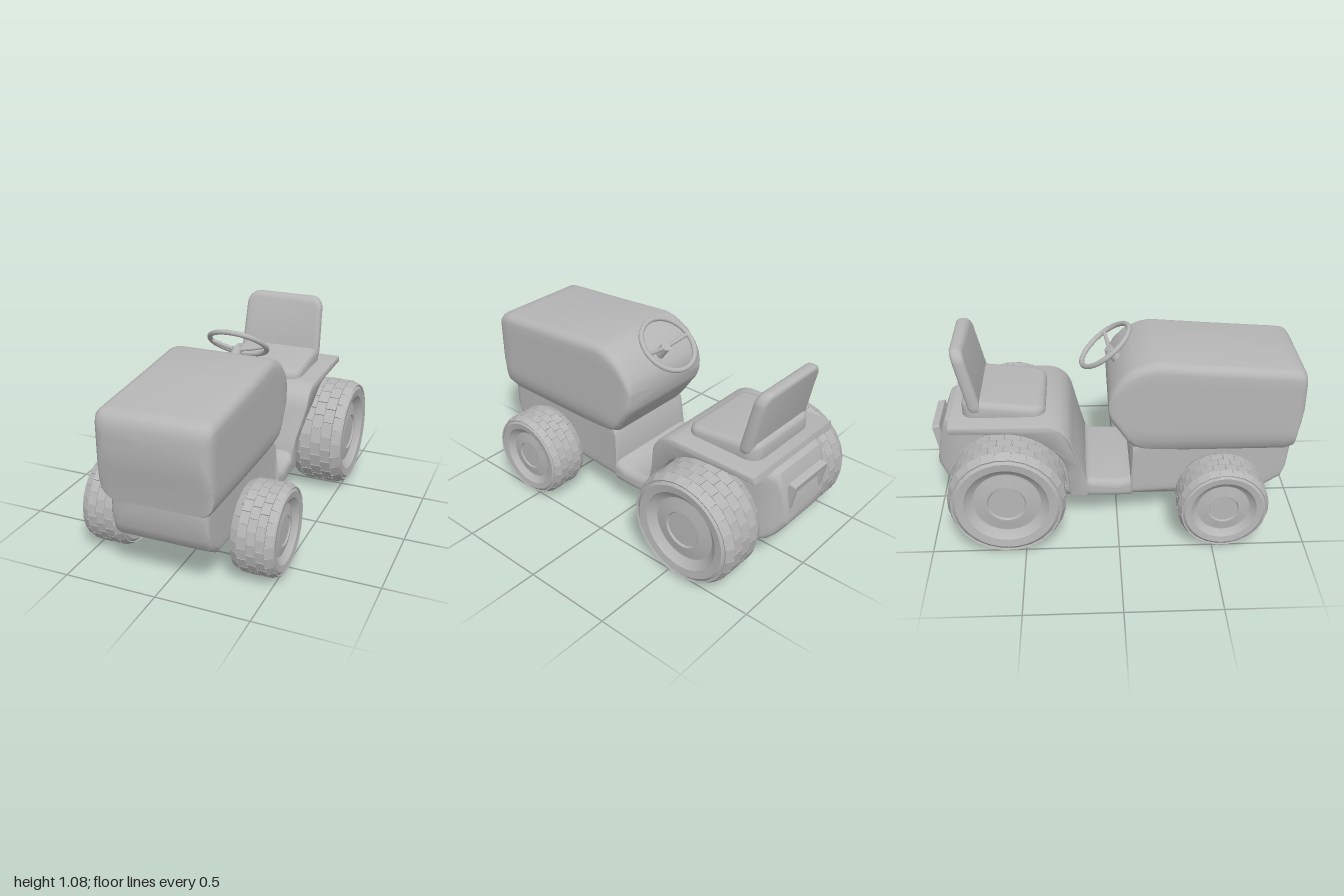
import * as THREE from 'three';
import { mergeGeometries, toCreasedNormals } from 'three/addons/utils/BufferGeometryUtils.js';

const grey = new THREE.MeshStandardMaterial({ color: 0xb6b6b6 });
grey.name = 'plain grey';

function add(parent, name, geometry) {
  const mesh = new THREE.Mesh(geometry, grey);
  mesh.name = name;
  parent.add(mesh);
  return mesh;
}

// Move every vertex by a rule
function reshape(geometry, rule) {
  const p = geometry.attributes.position;
  const v = new THREE.Vector3();
  for (let i = 0; i < p.count; i++) {
    rule(v.fromBufferAttribute(p, i));
    p.setXYZ(i, v.x, v.y, v.z);
  }
  return geometry;
}

// Rounded rectangle cross-section, counter-clockwise from lower right, with extra points up the sides
function ring(w, yb, yt, radius) {
  const r = Math.min(radius, (yt - yb) * 0.45, w * 0.9);
  const pts = [];
  const corner = (cx, cy, start) => {
    for (let i = 0; i <= 4; i++) {
      const a = start + (i / 4) * Math.PI / 2;
      pts.push([cx + r * Math.cos(a), cy + r * Math.sin(a)]);
    }
  };
  const side = (x, from, to) => {
    for (let i = 1; i < 8; i++) pts.push([x, from + (to - from) * i / 8]);
  };
  corner(w - r, yb + r, -Math.PI / 2);
  side(w, yb + r, yt - r);
  corner(w - r, yt - r, 0);
  corner(-w + r, yt - r, Math.PI / 2);
  side(-w, yt - r, yb + r);
  corner(-w + r, yb + r, Math.PI);
  return pts;
}

// Skin over sections [z, halfWidth, bottom, top], ordered from front to back
function loft(sections, radius, crease, rule) {
  const pos = [], idx = [];
  let n = 0;
  for (const [z, w, yb, yt] of sections) {
    const pts = ring(w, yb, yt, radius);
    n = pts.length;
    for (const [x, y] of pts) pos.push(x, y, z);
  }
  for (let s = 0; s < sections.length - 1; s++) {
    for (let i = 0; i < n; i++) {
      const a = s * n + i, b = s * n + (i + 1) % n;
      idx.push(a, a + n, b, b, a + n, b + n);
    }
  }
  // End caps
  const last = sections.length - 1;
  for (const s of [0, last]) {
    const [z, , yb, yt] = sections[s];
    const c = pos.length / 3;
    pos.push(0, (yb + yt) / 2, z);
    for (let i = 0; i < n; i++) {
      const a = s * n + i, b = s * n + (i + 1) % n;
      if (s === 0) idx.push(c, a, b);
      else idx.push(c, b, a);
    }
  }
  const g = new THREE.BufferGeometry();
  g.setAttribute('position', new THREE.Float32BufferAttribute(pos, 3));
  g.setIndex(idx);
  if (rule) reshape(g, rule);
  return toCreasedNormals(g, crease);
}

function roundedRect(w, h, r) {
  const s = new THREE.Shape();
  s.absarc(w / 2 - r, -h / 2 + r, r, -Math.PI / 2, 0);
  s.absarc(w / 2 - r, h / 2 - r, r, 0, Math.PI / 2);
  s.absarc(-w / 2 + r, h / 2 - r, r, Math.PI / 2, Math.PI);
  s.absarc(-w / 2 + r, -h / 2 + r, r, Math.PI, Math.PI * 1.5);
  return s;
}

// Rounded slab centred on the origin, thin along z
function slab(w, h, thick, r) {
  const b = thick * 0.35;
  const g = new THREE.ExtrudeGeometry(roundedRect(w - 2 * b, h - 2 * b, r), {
    depth: thick - 2 * b, bevelThickness: b, bevelSize: b, bevelSegments: 3, curveSegments: 5,
  });
  return g.translate(0, 0, -(thick - 2 * b) / 2);
}

// Wheel with its outer side towards +x
function makeWheel(name, R, h) {
  const wheel = new THREE.Group();
  wheel.name = name;
  const profile = [
    [0, -0.5], [0.64, -0.5], [0.7, -0.95], [0.86, -1], [0.95, -0.84], [0.972, -0.62],
    [0.972, 0.62], [0.95, 0.84], [0.86, 1], [0.72, 0.96], [0.69, 0.88], [0.58, 0.72],
    [0.55, 0.72], [0.37, 0.84], [0.33, 0.84], [0.31, 0.78], [0, 0.78],
  ].map(([r, x]) => new THREE.Vector2(r * R, x * h));
  const body = new THREE.LatheGeometry(profile, 36).rotateZ(-Math.PI / 2);
  add(wheel, 'tyreAndRim', toCreasedNormals(body, 0.45));

  // Staggered tread blocks, with the outermost rows leaning over the shoulders
  const count = 24, lugs = [];
  const rows = [[-0.8, 0.36, 0.955, 0.42], [-0.42, 0.4, 0.985, 0], [0, 0.4, 0.985, 0],
    [0.42, 0.4, 0.985, 0], [0.8, 0.36, 0.955, -0.42]];
  rows.forEach(([x, w, r, lean], row) => {
    for (let i = 0; i < count; i++) {
      const box = new THREE.BoxGeometry(w * h, 0.03 * R, 2 * Math.PI * R / count * 0.95);
      box.rotateZ(lean).translate(x * h, r * R, 0);
      lugs.push(box.rotateX((i + (row % 2) * 0.5) / count * Math.PI * 2));
    }
  });
  add(wheel, 'tread', mergeGeometries(lugs));
  return wheel;
}

export function createModel() {
  const model = new THREE.Group();
  model.name = 'gardenTractor';

  // Hood, drawn in along its lower edge
  add(model, 'hood', loft([
    [0.995, 0.24, 0.74, 0.87], [0.985, 0.275, 0.67, 0.905], [0.97, 0.292, 0.6, 0.925],
    [0.95, 0.3, 0.47, 0.938], [0.9, 0.3, 0.44, 0.945], [0.5, 0.3, 0.44, 0.975], [0.2, 0.3, 0.44, 1.0],
    [0.145, 0.3, 0.45, 0.99], [0.086, 0.3, 0.487, 0.965], [0.053, 0.3, 0.53, 0.947],
    [0, 0.298, 0.61, 0.893], [-0.03, 0.295, 0.65, 0.845], [-0.045, 0.285, 0.68, 0.815],
  ], 0.05, 0.75, (v) => {
    v.x *= 0.86 + 0.14 * THREE.MathUtils.smoothstep(v.y, 0.43, 0.56);
  }));

  // Chassis with nose, foot well and rear housing
  add(model, 'chassis', loft([
    [0.935, 0.24, 0.41, 0.55], [0.922, 0.255, 0.32, 0.55], [0.9, 0.258, 0.262, 0.55],
    [0.79, 0.258, 0.19, 0.55], [0.4, 0.262, 0.187, 0.55], [0.12, 0.275, 0.185, 0.55],
    [0.082, 0.28, 0.185, 0.5], [0.07, 0.295, 0.185, 0.31], [0, 0.298, 0.185, 0.29], [-0.15, 0.295, 0.185, 0.3],
    [-0.18, 0.285, 0.185, 0.33], [-0.25, 0.28, 0.185, 0.55], [-0.28, 0.27, 0.187, 0.62],
    [-0.34, 0.235, 0.19, 0.65], [-0.82, 0.235, 0.2, 0.66], [-0.88, 0.22, 0.225, 0.65],
    [-0.92, 0.2, 0.26, 0.635], [-0.945, 0.185, 0.295, 0.57], [-0.965, 0.172, 0.325, 0.46], [-0.975, 0.16, 0.345, 0.4],
  ], 0.04, 0.75));

  // Fenders: a one-piece shell that follows the arch over the rear wheels
  const shell = new THREE.Shape();
  shell.moveTo(-0.17, 0.29);
  shell.lineTo(-0.205, 0.4);
  shell.lineTo(-0.25, 0.56);
  shell.quadraticCurveTo(-0.28, 0.67, -0.4, 0.672);
  shell.lineTo(-0.875, 0.672);
  shell.lineTo(-0.88, 0.65);
  shell.lineTo(-0.6, 0.645);
  shell.absarc(-0.59, 0.315, 0.328, Math.PI / 2, 0.05, true);
  shell.lineTo(-0.25, 0.2);
  shell.lineTo(-0.17, 0.2);
  const fender = new THREE.ExtrudeGeometry(shell, {
    depth: 0.66, bevelThickness: 0.012, bevelSize: 0.008, bevelSegments: 2, curveSegments: 14,
  }).translate(0, 0, -0.33).rotateY(-Math.PI / 2);
  reshape(fender, (v) => { v.x *= 0.84 + 0.16 * THREE.MathUtils.smoothstep(v.y, 0.3, 0.6); });
  add(model, 'fenders', toCreasedNormals(fender, 0.7));

  // Seat cushion rising to the rear, and a leaning, slightly dished backrest
  const cushion = slab(0.48, 0.44, 0.09, 0.04).rotateX(-Math.PI / 2);
  reshape(cushion, (v) => {
    const back = (0.22 - v.z) / 0.44;
    if (v.y > 0) v.y += back * 0.05 - 0.008 * (1 - Math.min(1, Math.abs(v.x) / 0.2));
    v.y += 0.678;
    v.z -= 0.6;
  });
  add(model, 'seatCushion', toCreasedNormals(cushion, 0.7));
  const backrest = slab(0.485, 0.385, 0.07, 0.045);
  reshape(backrest, (v) => {
    v.x *= 1 - 0.03 * (v.y / 0.19);
    v.z += -0.792 - v.y * 0.22 + 0.25 * v.x * v.x;
    v.y += 0.868;
  });
  add(model, 'seatBack', toCreasedNormals(backrest, 0.7));

  // Steering wheel, spokes and column
  const steering = new THREE.Group();
  steering.name = 'steering';
  steering.position.set(0, 0.975, -0.056);
  steering.rotation.x = -0.66;
  add(steering, 'steeringRim', new THREE.TorusGeometry(0.16, 0.014, 10, 40).rotateX(Math.PI / 2));
  const spokePath = new THREE.CatmullRomCurve3([[-0.158, 0], [-0.08, -0.022], [0, -0.035], [0.08, -0.022], [0.158, 0]]
    .map(([x, y]) => new THREE.Vector3(x, y, 0)));
  add(steering, 'spokes', new THREE.TubeGeometry(spokePath, 16, 0.011, 8));
  add(steering, 'column', new THREE.CylinderGeometry(0.026, 0.03, 0.15, 14).translate(0, -0.1, 0));
  model.add(steering);

  // Open rear hitch frame, tilted with the housing
  const hitch = new THREE.Group();
  hitch.name = 'hitchFrame';
  hitch.position.set(0, 0.48, -0.962);
  hitch.rotation.x = -0.19;
  const frame = roundedRect(0.285, 0.195, 0.012);
  frame.holes.push(roundedRect(0.235, 0.15, 0.008));
  add(hitch, 'hitchSurround', new THREE.ExtrudeGeometry(frame, { depth: 0.04, bevelEnabled: false })
    .translate(0, 0, -0.018));
  add(hitch, 'hitchPanel', new THREE.BoxGeometry(0.25, 0.17, 0.009).translate(0, 0, 0.008));
  model.add(hitch);

  // Wheels and axles
  for (const side of [1, -1]) {
    const label = side > 0 ? 'left' : 'right';
    const front = makeWheel(label + 'FrontWheel', 0.24, 0.113);
    front.position.set(side * 0.413, 0.246, 0.552);
    const rear = makeWheel(label + 'RearWheel', 0.308, 0.142);
    rear.position.set(side * 0.389, 0.314, -0.588);
    for (const wheel of [front, rear]) {
      wheel.rotation.y = side > 0 ? 0 : Math.PI;
      model.add(wheel);
    }
    add(model, label + 'FrontAxle', new THREE.BoxGeometry(0.16, 0.08, 0.08)).position.set(side * 0.3, 0.246, 0.552);
  }
  add(model, 'rearAxle', new THREE.CylinderGeometry(0.05, 0.05, 0.66, 16).rotateZ(Math.PI / 2))
    .position.set(0, 0.314, -0.588);
  return model;
}
